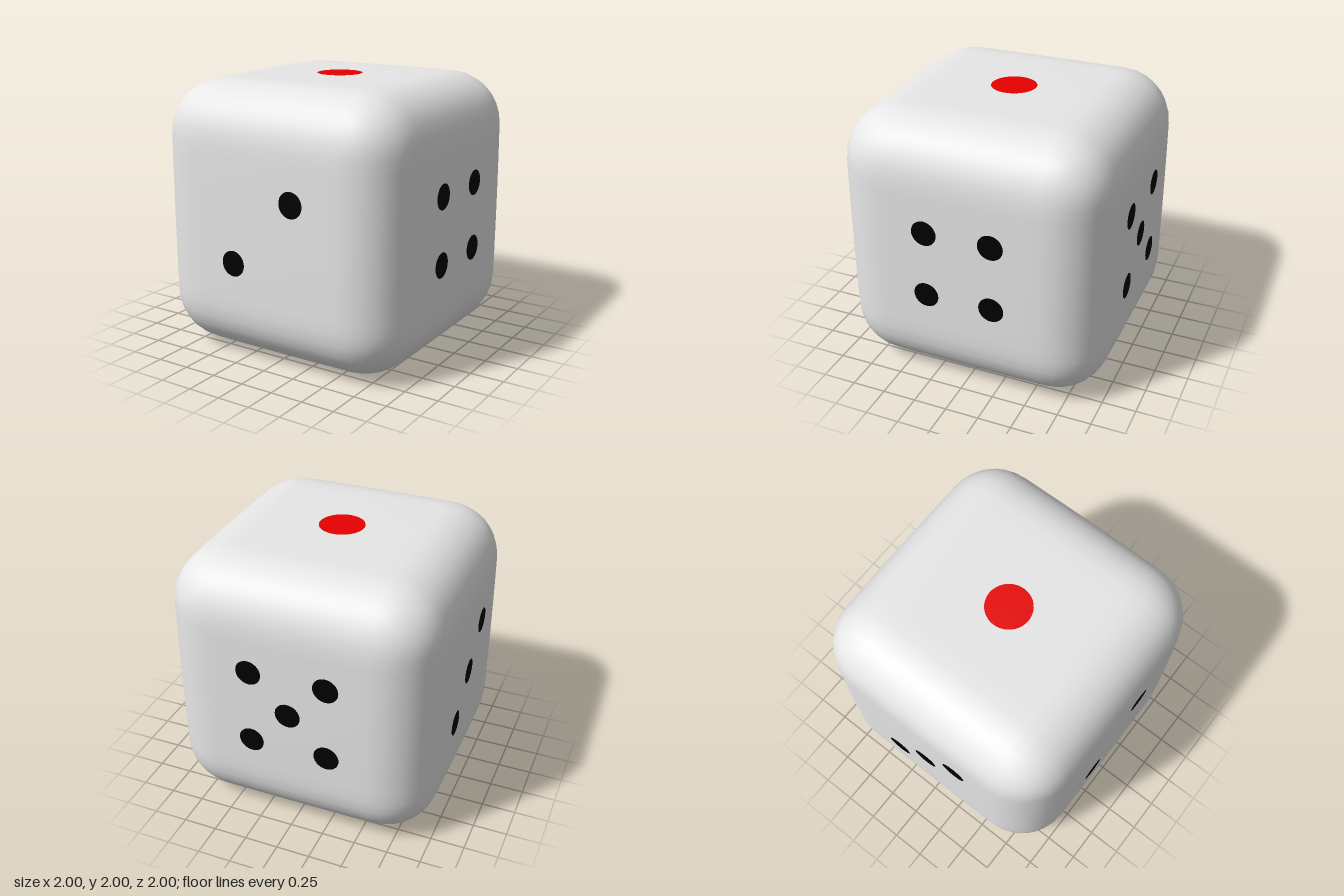
import * as THREE from 'three';
import { mergeVertices } from 'three/addons/utils/BufferGeometryUtils.js';

// Cube with rounded edges and very slightly domed faces
function dieGeometry(half, radius, dome) {
  const box = new THREE.BoxGeometry(2, 2, 2, 20, 20, 20);
  box.deleteAttribute('uv');
  box.deleteAttribute('normal');
  const geometry = mergeVertices(box);
  const pos = geometry.attributes.position;
  const inner = half - radius;
  const low = new THREE.Vector3(-inner, -inner, -inner);
  const high = new THREE.Vector3(inner, inner, inner);
  const p = new THREE.Vector3();
  const core = new THREE.Vector3();
  for (let i = 0; i < pos.count; i++) {
    p.fromBufferAttribute(pos, i).multiplyScalar(half);
    core.copy(p).clamp(low, high);
    p.sub(core).setLength(radius).add(core);
    const [xx, yy, zz] = [p.x * p.x, p.y * p.y, p.z * p.z];
    pos.setXYZ(i, p.x * (1 - dome * (yy + zz)), p.y * (1 - dome * (xx + zz)), p.z * (1 - dome * (xx + yy)));
  }
  geometry.computeVertexNormals();
  return geometry;
}

export function createModel() {
  const ivory = new THREE.MeshStandardMaterial({ name: 'ivory', color: 0xe7e7e7 });
  const black = new THREE.MeshStandardMaterial({ name: 'black', color: 0x000000 });
  const red = new THREE.MeshStandardMaterial({ name: 'red', color: 0xe70000 });

  const model = new THREE.Group();
  model.name = 'die';

  // Body, a hair smaller than the pip planes
  const body = new THREE.Mesh(dieGeometry(0.998, 0.39, 0.008), ivory);
  body.name = 'body';
  body.position.y = 1;
  model.add(body);

  // Pips of one face, laid out in the face's own x and y
  const small = new THREE.CircleGeometry(0.094, 32);
  const large = new THREE.CircleGeometry(0.166, 40);
  function addFace(name, rx, ry, spots, geometry = small, material = black) {
    const face = new THREE.Group();
    face.name = name;
    face.position.y = 1;
    face.rotation.set(rx, ry, 0);
    for (const [x, y] of spots) {
      const pip = new THREE.Mesh(geometry, material);
      pip.name = 'pip';
      pip.position.set(x, y, 1);
      face.add(pip);
    }
    model.add(face);
  }

  const corners = (a, b) => [[-a, -b], [a, -b], [-a, b], [a, b]];
  const q = Math.PI / 2;
  addFace('topOne', -q, 0, [[0, 0]], large, red);
  addFace('frontTwo', 0, 0, [[-0.247, -0.247], [0.247, 0.247]]);
  addFace('rightThree', 0, -q, [[-0.28, -0.28], [0, 0], [0.28, 0.28]]);
  addFace('leftFour', 0, q, corners(0.247, 0.247));
  addFace('backFive', 0, 2 * q, [...corners(0.285, 0.285), [0, 0]]);
  addFace('bottomSix', q, 0, [...corners(0.25, 0.28), [-0.25, 0], [0.25, 0]]);

  return model;
}
